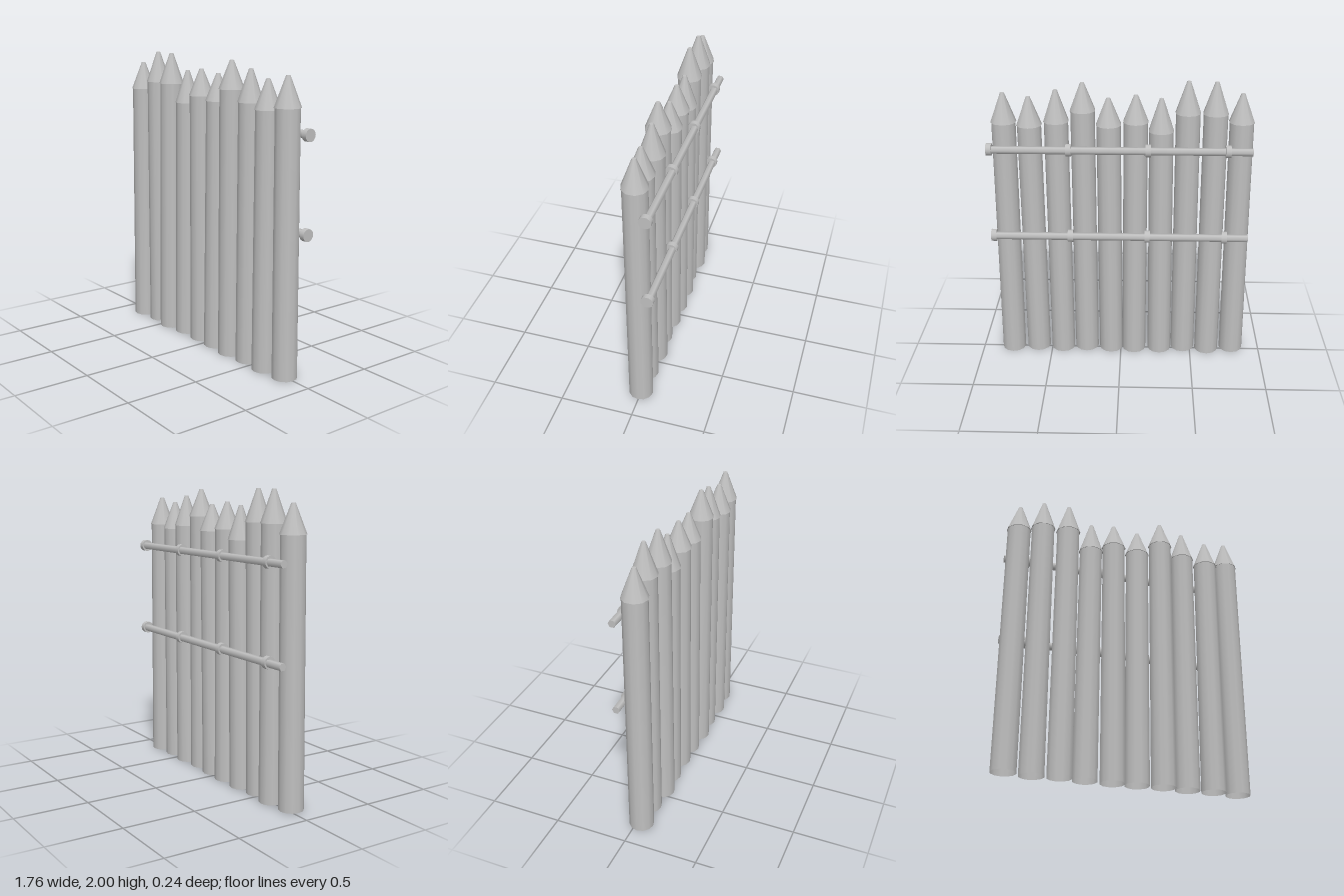
import * as THREE from 'three';

const UP = new THREE.Vector3(0, 1, 0);

// bottom x, bottom z, shoulder x, shoulder z, shoulder y, tip y
const POSTS = [
  [-0.8, 0.032, -0.788, 0.027, 1.73, 1.92],
  [-0.62, 0.01, -0.616, 0.01, 1.79, 2.0],
  [-0.447, 0.033, -0.437, 0.02, 1.79, 2.0],
  [-0.278, 0.012, -0.264, 0.005, 1.67, 1.89],
  [-0.095, 0.01, -0.097, 0.01, 1.73, 1.91],
  [0.07, 0.014, 0.081, 0.005, 1.71, 1.89],
  [0.247, 0.025, 0.251, 0.025, 1.8, 1.985],
  [0.42, 0.01, 0.425, 0.01, 1.73, 1.94],
  [0.6, 0.02, 0.604, 0.02, 1.7, 1.89],
  [0.781, 0.003, 0.769, 0.005, 1.725, 1.92],
];

// Cylinder running between two points
function strut(name, a, b, rStart, rEnd, sides, material, open = false) {
  const dir = b.clone().sub(a);
  const geo = new THREE.CylinderGeometry(rEnd, rStart, dir.length(), sides, 1, open);
  const mesh = new THREE.Mesh(geo, material);
  mesh.name = name;
  mesh.position.copy(a).add(b).multiplyScalar(0.5);
  mesh.quaternion.setFromUnitVectors(UP, dir.normalize());
  return mesh;
}

export function createModel() {
  const model = new THREE.Group();
  model.name = 'palisade';
  const wood = new THREE.MeshStandardMaterial({ color: 0xbfbfbf, side: THREE.DoubleSide });
  wood.name = 'pale grey';

  // Leaning hollow logs with sharpened tops
  POSTS.forEach(([bx, bz, sx, sz, sy, ty], i) => {
    const post = new THREE.Group();
    post.name = `post${i + 1}`;
    const base = new THREE.Vector3(bx, 0.001, bz);
    const shoulder = new THREE.Vector3(sx, sy, sz);
    const tip = new THREE.Vector3(sx + (sx - bx) * 0.1, ty, sz);
    post.add(
      strut('log', base, shoulder, 0.083, 0.08, 12, wood, true),
      strut('point', shoulder, tip, 0.086, 0.013, 10, wood),
    );
    model.add(post);
  });

  // Two back rails, each with four binding collars
  for (const y of [1.563, 0.943]) {
    const rail = new THREE.Group();
    rail.name = y > 1 ? 'upperRail' : 'lowerRail';
    const at = (x, z) => new THREE.Vector3(x, y, z);
    rail.add(strut('bar', at(-0.86, -0.092), at(0.86, -0.092), 0.026, 0.026, 6, wood));
    for (const x of [-0.7, -0.18, 0.34, 0.86]) {
      rail.add(strut('collar', at(x - 0.018, -0.085), at(x + 0.018, -0.085), 0.041, 0.041, 16, wood));
    }
    model.add(rail);
  }
  return model;
}
